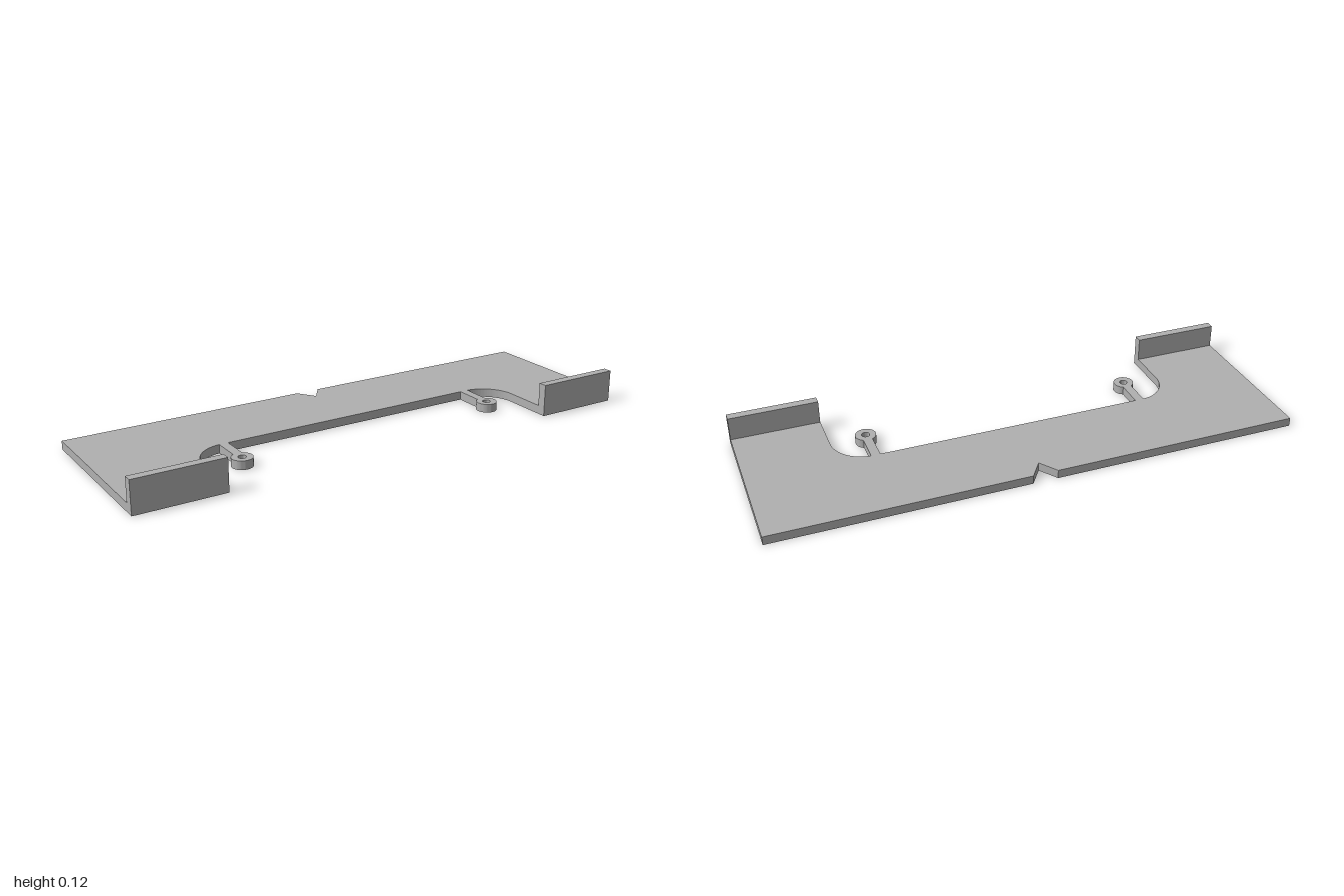
import * as THREE from 'three';
import { toCreasedNormals } from 'three/addons/utils/BufferGeometryUtils.js';

const HALF_W = 1, HALF_D = 0.323, THICK = 0.033;
const INNER_X = 0.665, EDGE_Z = 0.004, FILLET = 0.127;
const LIP_H = 0.123, LIP_T = 0.033;
const ARM_X = 0.528, RING_Z = 0.146, RING_R = 0.039, HOLE_R = 0.015;

export function createModel() {
  const group = new THREE.Group();
  const grey = new THREE.MeshStandardMaterial({ color: 0xb0b0b0 });
  grey.name = 'grey';

  const add = (name, geometry, x = 0, y = 0, z = 0) => {
    const mesh = new THREE.Mesh(geometry, grey);
    mesh.name = name;
    mesh.position.set(x, y, z);
    group.add(mesh);
  };

  // Extrudes a plan outline (x, -z) upwards to the plate thickness
  const slab = (shape) => {
    const g = new THREE.ExtrudeGeometry(shape, { depth: THICK, bevelEnabled: false, curveSegments: 24 });
    g.rotateX(-Math.PI / 2);
    return toCreasedNormals(g, Math.PI / 6);
  };

  // Base plate: U-shaped plan with filleted inner corners and a V notch at the back
  const plan = new THREE.Shape();
  plan.moveTo(-HALF_W, -HALF_D);
  plan.lineTo(-INNER_X, -HALF_D);
  plan.lineTo(-INNER_X, -EDGE_Z - FILLET);
  plan.absarc(-INNER_X + FILLET, -EDGE_Z - FILLET, FILLET, Math.PI, Math.PI / 2, true);
  plan.lineTo(INNER_X - FILLET, -EDGE_Z);
  plan.absarc(INNER_X - FILLET, -EDGE_Z - FILLET, FILLET, Math.PI / 2, 0, true);
  plan.lineTo(INNER_X, -HALF_D);
  plan.lineTo(HALF_W, -HALF_D);
  plan.lineTo(HALF_W, HALF_D);
  plan.lineTo(0.047, HALF_D);
  plan.lineTo(0, 0.255);
  plan.lineTo(-0.047, HALF_D);
  plan.lineTo(-HALF_W, HALF_D);
  plan.closePath();
  add('basePlate', slab(plan));

  // Eyelet ring at the end of each arm
  const ring = new THREE.Shape();
  ring.absarc(0, 0, RING_R, 0, Math.PI * 2, false);
  const hole = new THREE.Path();
  hole.absarc(0, 0, HOLE_R, 0, Math.PI * 2, true);
  ring.holes.push(hole);
  const ringGeometry = slab(ring);

  const lipW = HALF_W - INNER_X;
  const armStart = EDGE_Z - 0.002, armEnd = RING_Z - 0.03;
  for (const [side, s] of [['left', 1], ['right', -1]]) {
    // Upright lip along the front edge of each foot
    add(side + 'Lip', new THREE.BoxGeometry(lipW, LIP_H - THICK, LIP_T),
      s * (INNER_X + lipW / 2), (LIP_H + THICK) / 2, HALF_D - LIP_T / 2);
    // Thin arm carrying the eyelet
    add(side + 'Arm', new THREE.BoxGeometry(0.034, THICK, armEnd - armStart),
      s * ARM_X, THICK / 2, (armStart + armEnd) / 2);
    add(side + 'Eyelet', ringGeometry, s * ARM_X, 0, RING_Z);
  }
  return group;
}
